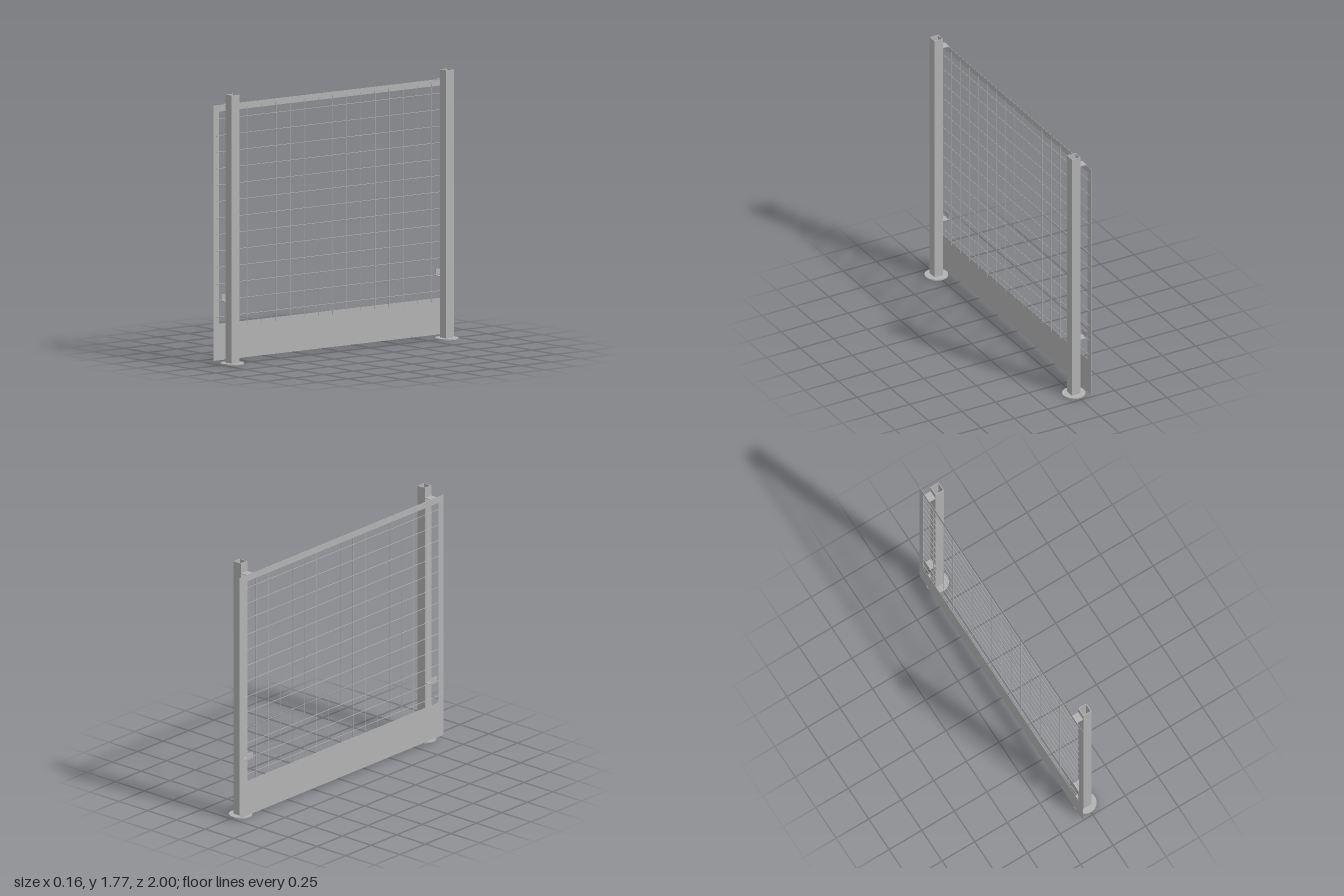
import * as THREE from 'three';

export function createModel() {
  const model = new THREE.Group();
  model.name = 'meshFencePanel';
  const steel = new THREE.MeshStandardMaterial({ color: 0xb2b2b2 });
  steel.name = 'grey steel';

  const add = (name, geometry, x, y, z, parent = model) => {
    const mesh = new THREE.Mesh(geometry, steel);
    mesh.name = name;
    mesh.position.set(x, y, z);
    parent.add(mesh);
    return mesh;
  };
  const rectPoints = (x0, y0, x1, y1) => [
    new THREE.Vector2(x0, y0), new THREE.Vector2(x1, y0),
    new THREE.Vector2(x1, y1), new THREE.Vector2(x0, y1),
  ];
  // Rectangular plate with a rectangular opening
  const ring = (outer, inner, depth) => {
    const shape = new THREE.Shape(rectPoints(...outer));
    shape.holes.push(new THREE.Path(rectPoints(...inner)));
    return new THREE.ExtrudeGeometry(shape, { depth, bevelEnabled: false });
  };

  // Hollow square posts on round feet, with two angle brackets each
  const half = 0.032, bore = 0.027, footHeight = 0.008, postTop = 1.77;
  const tube = ring([-half, -half, half, half], [-bore, -bore, bore, bore], postTop - footHeight);
  tube.rotateX(-Math.PI / 2);
  const foot = new THREE.CylinderGeometry(0.077, 0.077, footHeight, 32);
  const shelf = new THREE.BoxGeometry(0.048, 0.003, 0.06);
  const flange = new THREE.BoxGeometry(0.003, 0.045, 0.06);
  for (const side of [1, -1]) {
    const post = new THREE.Group();
    post.name = side > 0 ? 'frontPost' : 'backPost';
    post.position.z = side * 0.903;
    model.add(post);
    add('postTube', tube, 0, footHeight, 0, post);
    add('postFoot', foot, 0, footHeight / 2, 0, post);
    for (const [name, y, dir] of [['upperBracket', 1.7, -1], ['lowerBracket', 0.408, 1]]) {
      const bracket = new THREE.Group();
      bracket.name = name;
      bracket.position.y = y;
      post.add(bracket);
      add('bracketShelf', shelf, -0.055, 0, 0, bracket);
      add('bracketFlange', flange, -0.0785, dir * 0.0215, 0, bracket);
    }
  }

  // Thin sheet frame with a deep kick plate along the bottom
  const frame = ring([-1, 0.02, 1, 1.698], [-0.955, 0.26, 0.955, 1.655], 0.002);
  frame.rotateY(Math.PI / 2);
  add('panelFrame', frame, -0.0768, 0, 0);

  // Wire grid fixed to the post side of the frame
  const grid = new THREE.Group();
  grid.name = 'wireGrid';
  model.add(grid);
  const wireRadius = 0.0023;
  const upright = new THREE.CylinderGeometry(wireRadius, wireRadius, 1.44, 6);
  const rail = new THREE.CylinderGeometry(wireRadius, wireRadius, 1.96, 6).rotateX(Math.PI / 2);
  for (let i = -7; i <= 7; i++) add('uprightWire', upright, -0.0725, 0.955, i * 0.119, grid);
  for (let i = 0; i < 13; i++) add('railWire', rail, -0.0725, 0.306 + i * 0.1083, 0, grid);

  return model;
}
